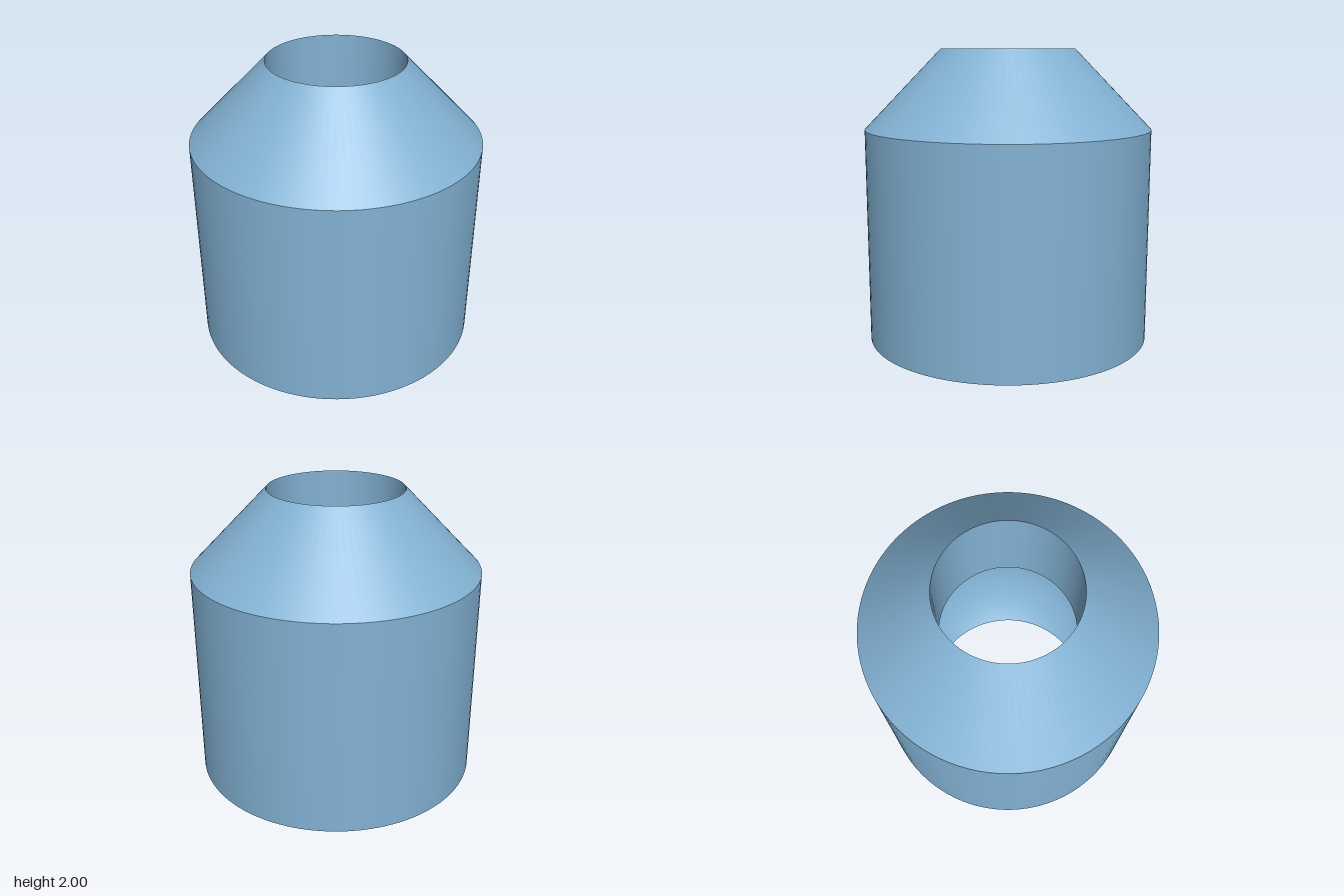
import * as THREE from 'three';

const SEGMENTS = 96;
const OUTER = 0.977;      // body radius
const BORE = 0.457;       // upper bore radius, meets the cone in a sharp rim
const MOUTH = 0.617;      // opening in the base
const SHOULDER = 1.463;   // height where the cone starts
const CAVITY = 0.87;      // radius of the rounded cavity

export function createModel() {
  const group = new THREE.Group();
  const blue = new THREE.MeshStandardMaterial({ color: 0x82b1d3 });
  blue.name = 'light blue';

  // Each surface is its own lathe, so edges between them stay sharp.
  function addLathe(name, points) {
    const profile = points.map(([r, y]) => new THREE.Vector2(r, y));
    const mesh = new THREE.Mesh(new THREE.LatheGeometry(profile, SEGMENTS), blue);
    mesh.name = name;
    group.add(mesh);
  }

  // Outside, from the base ring up to the rim
  addLathe('baseRing', [[MOUTH, 0], [OUTER, 0]]);
  addLathe('bodyWall', [[OUTER, 0], [OUTER, SHOULDER]]);
  addLathe('coneShoulder', [[OUTER, SHOULDER], [BORE, 2]]);

  // Inside, from the rim down through the bore and rounded cavity
  const centreY = Math.sqrt(CAVITY ** 2 - MOUTH ** 2);
  const start = Math.acos(BORE / CAVITY);
  const end = -Math.acos(MOUTH / CAVITY);
  const cavity = [];
  for (let i = 0; i <= 32; i++) {
    const a = start + (end - start) * i / 32;
    cavity.push([CAVITY * Math.cos(a), centreY + CAVITY * Math.sin(a)]);
  }
  addLathe('boreWall', [[BORE, 2], cavity[0]]);
  addLathe('cavityWall', cavity);

  return group;
}
